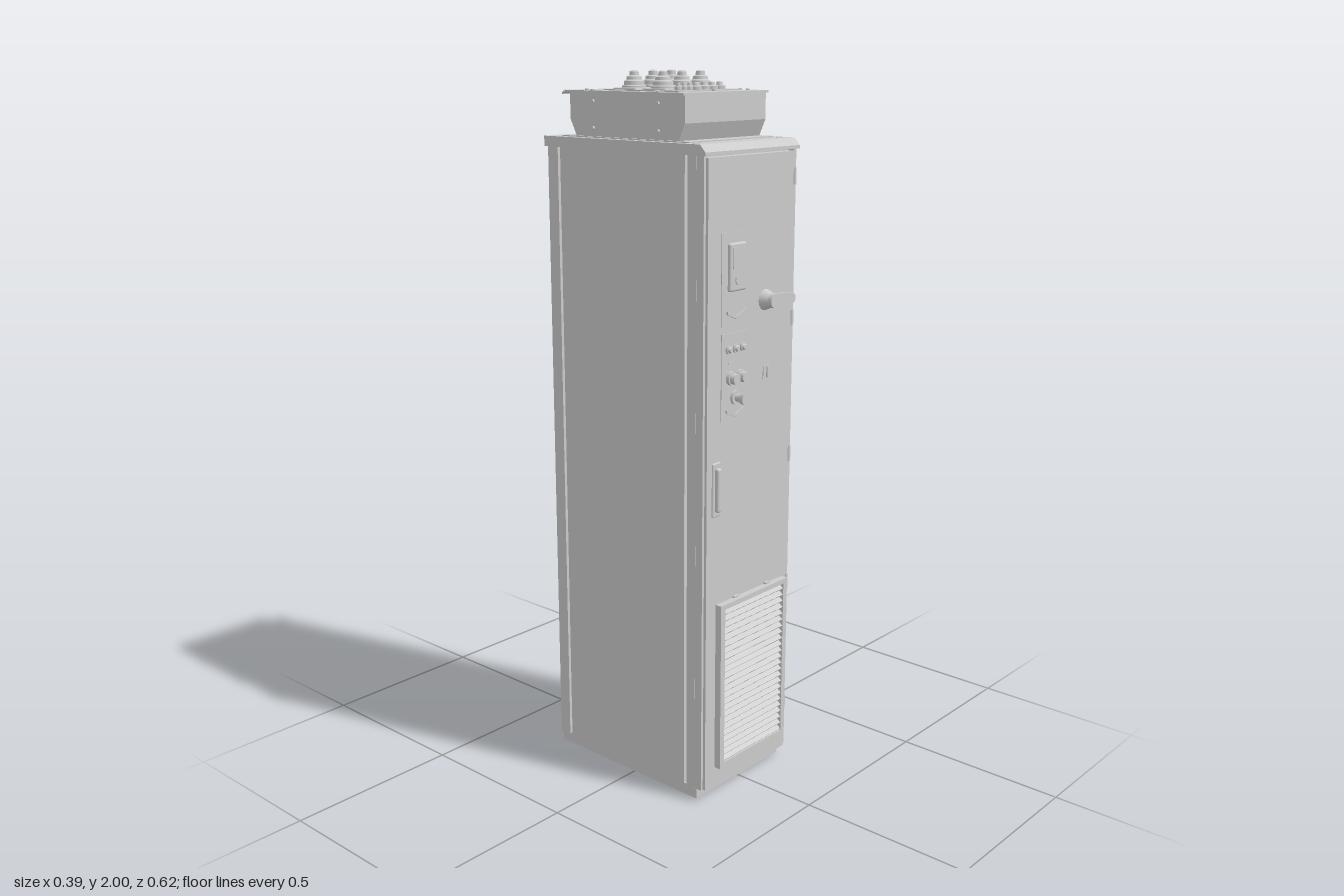
import * as THREE from 'three';
import { RoundedBoxGeometry } from 'three/addons/geometries/RoundedBoxGeometry.js';

export function createModel() {
  const root = new THREE.Group();
  const mat = new THREE.MeshStandardMaterial({ color: 0xcccccc, side: THREE.DoubleSide });

  const add = (name, geo, x = 0, y = 0, z = 0, parent = root) => {
    const m = new THREE.Mesh(geo, mat);
    m.name = name;
    m.position.set(x, y, z);
    parent.add(m);
    return m;
  };
  // Box given by its limits on each axis
  const box = (name, x0, x1, y0, y1, z0, z1, parent) =>
    add(name, new THREE.BoxGeometry(x1 - x0, y1 - y0, z1 - z0), (x0 + x1) / 2, (y0 + y1) / 2, (z0 + z1) / 2, parent);
  const rounded = (name, x0, x1, y0, y1, z0, z1, r) =>
    add(name, new RoundedBoxGeometry(x1 - x0, y1 - y0, z1 - z0, 3, r), (x0 + x1) / 2, (y0 + y1) / 2, (z0 + z1) / 2);
  // Cylinder along z, growing forward from z0
  const knob = (name, x, y, z0, z1, r0, r1 = r0) => {
    const m = add(name, new THREE.CylinderGeometry(r1, r0, z1 - z0, 24), x, y, (z0 + z1) / 2);
    m.rotation.x = Math.PI / 2;
    return m;
  };
  const outline = (pts) => new THREE.Shape(pts.map(([a, b]) => new THREE.Vector2(a, b)));
  const rect = (x0, x1, y0, y1) => outline([[x0, y0], [x1, y0], [x1, y1], [x0, y1]]);
  const plate = (shape, depth) => new THREE.ExtrudeGeometry(shape, { depth, bevelEnabled: false });
  // Profile in the (z, y) plane, extruded across the width
  const across = (name, pts, halfWidth) => {
    const m = add(name, plate(outline(pts.map(([z, y]) => [-z, y])), 2 * halfWidth), -halfWidth, 0, 0);
    m.rotation.y = Math.PI / 2;
    return m;
  };

  // Cabinet core, side panels, corner posts
  box('cabinetCore', -0.18, 0.18, 0.03, 1.81, -0.3, 0.24);
  box('backPanel', -0.175, 0.175, 0.04, 1.795, -0.306, -0.299);
  for (const s of [-1, 1]) {
    const side = (name, w, y0, y1, z0, z1) =>
      box(name, Math.min(s * 0.17, s * w), Math.max(s * 0.17, s * w), y0, y1, z0, z1);
    side('sidePanel', 0.191, 0.035, 1.8, -0.254, 0.198);
    side('frontPost', 0.189, 0.03, 1.8, 0.208, 0.236);
    side('rearPost', 0.189, 0.03, 1.8, -0.304, -0.266);
    box('roofSlot', s * 0.17 - 0.011, s * 0.17 + 0.011, 1.824, 1.827, 0.217, 0.222);
  }
  for (const y of [0.95, 1.52]) box('backSlot', -0.1, 0.1, y - 0.003, y + 0.003, -0.309, -0.305);

  // Roof cap with sloped front edge
  across('roofCap', [[-0.312, 1.797], [0.27, 1.797], [0.27, 1.806], [0.252, 1.825], [-0.312, 1.825]], 0.195);
  box('roofCollar', -0.174, 0.173, 1.824, 1.828, -0.262, 0.198);

  // Plinth frame with recessed floor
  for (const s of [-1, 1]) box('plinthSide', s * 0.176 - 0.008, s * 0.176 + 0.008, 0, 0.034, -0.3, 0.24);
  box('plinthFront', -0.18, 0.18, 0, 0.034, 0.226, 0.24);
  box('plinthBack', -0.18, 0.18, 0, 0.034, -0.3, -0.286);
  box('floorRail', 0.135, 0.155, 0.012, 0.032, -0.22, 0.2);
  box('floorRail', -0.14, 0.13, 0.012, 0.032, 0.185, 0.205);
  for (const x of [-0.085, -0.015, 0.055]) {
    const ring = add('floorGland', new THREE.TorusGeometry(0.024, 0.008, 10, 28), x, 0.024, 0.04);
    ring.rotation.x = Math.PI / 2;
    add('floorGlandCore', new THREE.CylinderGeometry(0.012, 0.02, 0.012, 24), x, 0.026, 0.04);
  }

  // Door with hinges
  box('door', -0.183, 0.176, 0.036, 1.792, 0.244, 0.27);
  for (const s of [-1, 1]) box('doorFrame', s * 0.186 - 0.005, s * 0.186 + 0.005, 0.036, 1.798, 0.238, 0.262);
  for (const y of [0.18, 0.565, 0.95, 1.34, 1.725]) {
    add('hinge', new THREE.CylinderGeometry(0.006, 0.006, 0.045, 12), 0.176, y, 0.268);
  }

  // Swing handle
  rounded('handleBase', -0.162, -0.128, 0.84, 0.992, 0.266, 0.274, 0.004);
  rounded('handleGrip', -0.154, -0.136, 0.855, 0.978, 0.27, 0.286, 0.006);

  // Display panel
  box('displayPlate', -0.13, -0.022, 1.355, 1.6, 0.268, 0.272);
  rounded('displayUnit', -0.106, -0.038, 1.445, 1.572, 0.268, 0.281, 0.006);
  box('displayScreen', -0.095, -0.049, 1.505, 1.56, 0.28, 0.283);
  knob('displayDial', -0.072, 1.475, 0.28, 0.284, 0.014);
  for (const y of [1.105, 1.37]) {
    const chevron = outline([[-0.11, y + 0.016], [-0.072, y], [-0.034, y + 0.016], [-0.034, y + 0.024], [-0.072, y + 0.008], [-0.11, y + 0.024]]);
    add('chevronTrim', plate(chevron, 0.007), 0, 0, 0.27);
  }

  // Push buttons and stop button
  box('buttonPlate', -0.128, -0.02, 1.1, 1.335, 0.268, 0.272);
  for (const x of [-0.1, -0.071, -0.042]) {
    knob('lampBezel', x, 1.292, 0.27, 0.278, 0.012);
    knob('lampLens', x, 1.292, 0.278, 0.283, 0.009, 0.006);
  }
  box('labelStrip', -0.1, -0.08, 1.252, 1.258, 0.27, 0.275);
  for (const x of [-0.091, -0.053]) {
    knob('buttonBezel', x, 1.214, 0.27, 0.282, 0.019);
    knob('buttonCap', x, 1.214, 0.282, 0.296, 0.015, 0.014);
  }
  knob('stopBezel', -0.071, 1.159, 0.27, 0.28, 0.02);
  knob('stopStem', -0.071, 1.159, 0.28, 0.297, 0.011);
  knob('stopCap', -0.071, 1.159, 0.295, 0.312, 0.014, 0.018);

  // Rotary main switch
  knob('switchHub', 0.056, 1.405, 0.27, 0.296, 0.029, 0.018);
  const lever = new THREE.Shape();
  lever.absarc(0.056, 1.405, 0.02, Math.PI / 2, Math.PI * 1.5);
  lever.absarc(0.128, 1.403, 0.015, -Math.PI / 2, Math.PI / 2);
  add('switchLever', plate(lever, 0.012), 0, 0, 0.294);
  box('keyPlate', 0.05, 0.082, 1.185, 1.225, 0.269, 0.272);
  box('keySlot', 0.063, 0.069, 1.19, 1.22, 0.271, 0.276);

  // Vent grille
  const frame = rect(-0.142, 0.154, 0.093, 0.585);
  frame.holes.push(rect(-0.124, 0.137, 0.108, 0.571));
  add('ventFrame', plate(frame, 0.02), 0, 0, 0.27);
  const slats = 24;
  for (let i = 0; i < slats; i++) {
    const slat = add('ventSlat', new THREE.BoxGeometry(0.262, 0.003, 0.02), 0.0065, 0.118 + i * 0.443 / (slats - 1), 0.28);
    slat.rotation.x = 0.65;
  }
  for (const x of [-0.06, 0.08]) box('ventClip', x - 0.01, x + 0.01, 0.583, 0.59, 0.27, 0.278);

  // Cable entry box on the roof
  across('entryBox', [[0.153, 1.824], [0.175, 1.872], [0.175, 1.943], [-0.238, 1.943], [-0.238, 1.872], [-0.213, 1.824]], 0.165);
  box('entryFlange', -0.174, 0.173, 1.942, 1.948, -0.25, 0.178);
  across('flangeLip', [[-0.25, 1.942], [-0.25, 1.948], [-0.263, 1.941], [-0.262, 1.937]], 0.172);
  box('glandPlate', -0.131, 0.131, 1.947, 1.951, -0.145, 0.116);

  // Flange screws and side screws
  const screw = (x, z) => add('screw', new THREE.CylinderGeometry(0.005, 0.005, 0.005, 12), x, 1.949, z);
  for (const z of [-0.197, 0.132]) for (const x of [-0.141, 0, 0.141]) screw(x, z);
  for (const z of [-0.15, 0.085]) for (const x of [-0.167, 0.167]) screw(x, z);
  for (const s of [-1, 1]) for (const z of [-0.15, 0.085]) for (const y of [1.85, 1.92]) {
    add('sideScrew', new THREE.CylinderGeometry(0.005, 0.005, 0.008, 12), s * 0.167, y, z).rotation.z = Math.PI / 2;
  }

  // Stepped cable grommets on two raised plates
  const lathe = (pts) => new THREE.LatheGeometry(pts.map(([r, y]) => new THREE.Vector2(r, y)), 32).toNonIndexed();
  const flat = (pts) => { const g = lathe(pts); g.computeVertexNormals(); return g; };
  const big = flat([[0.033, 0], [0.033, 0.006], [0.028, 0.008], [0.027, 0.018], [0.021, 0.022], [0.02, 0.03],
    [0.013, 0.033], [0.012, 0.043], [0.006, 0.046], [0, 0.046]]);
  const small = flat([[1, 0], [1, 0.01], [0.6, 0.012], [0.5, 0.02], [0, 0.021]]);
  for (const z of [-0.084, 0.02]) {
    rounded('grommetPlate', -0.113, 0.113, 1.948, 1.955, z - 0.042, z + 0.041, 0.003);
    for (const x of [-0.075, 0, 0.075]) add('cableGrommet', big, x, 1.954, z);
  }
  for (const [x, r] of [[-0.086, 0.01], [-0.064, 0.01], [-0.042, 0.01], [-0.015, 0.016], [0.017, 0.016], [0.049, 0.016], [0.081, 0.016]]) {
    add('smallGrommet', small, x, 1.95, 0.083).scale.set(r, 1, r);
  }

  return root;
}
